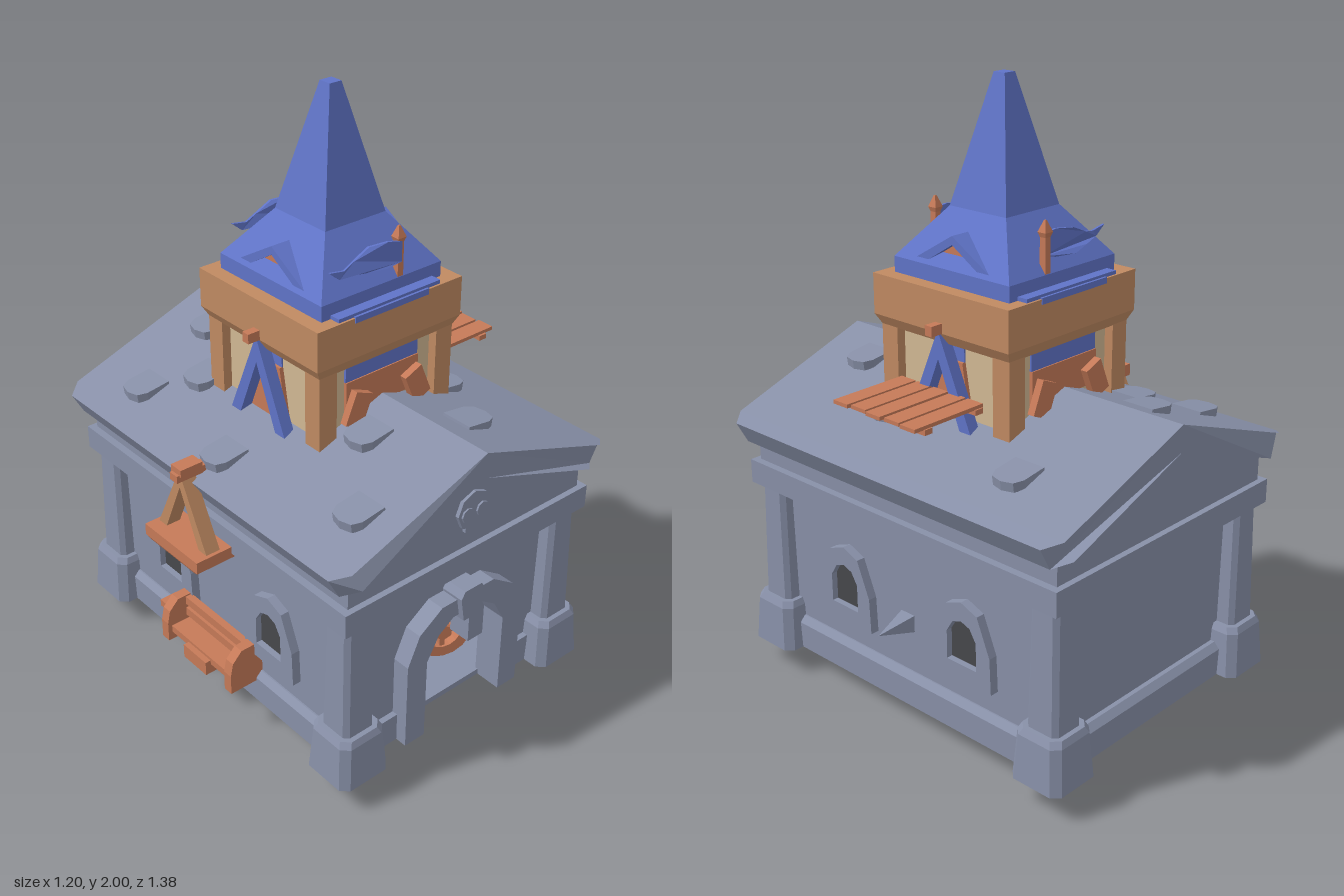
import * as THREE from 'three';

const mat = (name, color) => Object.assign(new THREE.MeshStandardMaterial({ color }), { name });

export function createModel() {
  const stone = mat('grey stone', 0x8890a8), blue = mat('blue cloth', 0x6074c8);
  const wood = mat('red wood', 0xc67a58), oak = mat('light wood', 0xc08a62);
  const plaster = mat('cream plaster', 0xd2b994), green = mat('green paint', 0x23875f);
  const dark = mat('dark opening', 0x47484c);
  const root = new THREE.Group();
  const g = new THREE.Group();
  g.name = 'chapelWagon';
  g.position.x = 0.035;
  root.add(g);

  const add = (name, geo, m, parent = g) => {
    const flat = geo.index ? geo.toNonIndexed() : geo;
    flat.computeVertexNormals();
    const mesh = new THREE.Mesh(flat, m);
    mesh.name = name;
    parent.add(mesh);
    return mesh;
  };
  // box given by its limits
  const box = (name, m, x0, x1, y0, y1, z0, z1, parent) => {
    const b = add(name, new THREE.BoxGeometry(x1 - x0, y1 - y0, z1 - z0), m, parent);
    b.position.set((x0 + x1) / 2, (y0 + y1) / 2, (z0 + z1) / 2);
    return b;
  };
  const poly = (pts) => new THREE.Shape(pts.map((p) => new THREE.Vector2(p[0], p[1])));
  // half outline mirrored across x = 0, listed from bottom right to the top centre
  const mirrored = (half) => [...half, ...half.filter((p) => p[0] !== 0).reverse().map((p) => [-p[0], p[1]])];
  const extrude = (shape, depth) => new THREE.ExtrudeGeometry(shape, { depth, bevelEnabled: false });
  // chamfered rectangles joined upwards: levels are [y, halfX, halfZ, chamfer]
  const loft = (levels) => {
    const rings = levels.map(([y, a, b, c]) => [[a, b - c], [a - c, b], [c - a, b], [-a, b - c],
      [-a, c - b], [c - a, -b], [a - c, -b], [a, c - b]].map(([x, z]) => [x, y, z]));
    const pos = [];
    const tri = (...p) => p.forEach((v) => pos.push(...v));
    for (let k = 0; k + 1 < rings.length; k++) {
      const lo = rings[k], hi = rings[k + 1];
      for (let i = 0; i < 8; i++) {
        const j = (i + 1) % 8;
        tri(lo[i], hi[j], lo[j]);
        tri(lo[i], hi[i], hi[j]);
      }
    }
    const top = rings[rings.length - 1], bot = rings[0];
    for (let i = 1; i < 7; i++) {
      tri(top[0], top[i + 1], top[i]);
      tri(bot[0], bot[i], bot[i + 1]);
    }
    return new THREE.BufferGeometry().setAttribute('position', new THREE.Float32BufferAttribute(pos, 3));
  };

  // corner columns on heavy feet
  for (const sx of [-1, 1]) for (const sz of [-1, 1]) {
    const foot = add('columnFoot', loft([[0.09, 0.095, 0.095, 0.025], [0.24, 0.085, 0.085, 0.025], [0.26, 0.075, 0.075, 0.025]]), stone);
    const col = add('column', loft([[0.25, 0.059, 0.059, 0.015], [0.67, 0.051, 0.051, 0.015]]), stone);
    for (const m of [foot, col]) m.position.set(sx * 0.43, 0, sz * 0.59);
  }

  // walls, plinths and floor
  const opening = mirrored([[0.165, 0.09], [0.165, 0.38], [0.12, 0.46], [0.06, 0.5]]);
  const front = poly([[-0.43, 0.09], [-0.165, 0.09], [-0.165, 0.38], [-0.12, 0.46], [-0.06, 0.5],
    [0.06, 0.5], [0.12, 0.46], [0.165, 0.38], [0.165, 0.09], [0.43, 0.09], [0.43, 0.625], [-0.43, 0.625]]);
  add('frontWall', extrude(front, 0.04), stone).position.z = 0.55;
  box('backWall', stone, -0.43, 0.43, 0.09, 0.625, -0.59, -0.55);
  add('backPlinth', loft([[0.09, 0.36, 0.03, 0], [0.18, 0.36, 0.03, 0], [0.2, 0.36, 0.01, 0]]), stone).position.z = -0.595;
  box('floor', stone, -0.42, 0.42, 0.09, 0.11, -0.56, 0.56);
  for (const s of [-1, 1]) {
    box('sideWall', stone, s * 0.42 - 0.02, s * 0.42 + 0.02, 0.09, 0.625, -0.57, 0.57);
    add('sidePlinth', loft([[0.09, 0.03, 0.52, 0], [0.18, 0.03, 0.52, 0], [0.2, 0.01, 0.52, 0]]), stone).position.x = s * 0.435;
    box('frontPlinth', stone, s * 0.29 - 0.05, s * 0.29 + 0.05, 0.09, 0.19, 0.57, 0.61);
    box('doorBlock', stone, s * 0.13 - 0.033, s * 0.13 + 0.033, 0.27, 0.44, 0.49, 0.57);
  }

  // entrance arch and keystone
  const arch = poly([[0.245, 0.09], [0.245, 0.4], [0.2, 0.5], [0.11, 0.56], [-0.11, 0.56], [-0.2, 0.5], [-0.245, 0.4], [-0.245, 0.09],
    ...opening.slice(4).reverse(), ...opening.slice(0, 4).reverse()]);
  add('entranceArch', extrude(arch, 0.1), stone).position.z = 0.55;
  add('keystone', extrude(poly([[-0.035, 0.485], [0.035, 0.485], [0.05, 0.57], [0.035, 0.595], [-0.035, 0.595], [-0.05, 0.57]]), 0.12), stone).position.z = 0.55;

  // side windows
  const frame = mirrored([[0.12, 0.28], [0.115, 0.4], [0.065, 0.52], [0, 0.545]]);
  const pane = mirrored([[0.06, 0.335], [0.06, 0.43], [0.035, 0.47], [0, 0.482]]);
  for (const s of [-1, 1]) for (const z of [-0.26, 0.26]) {
    const w = new THREE.Group();
    w.name = 'window';
    const ring = poly(frame);
    ring.holes.push(new THREE.Path(poly(pane).getPoints()));
    add('windowFrame', extrude(ring, 0.035), stone, w);
    add('windowPane', extrude(poly(pane), 0.008), dark, w).position.z = 0.006;
    w.rotation.y = s * Math.PI / 2;
    w.position.set(s * 0.435, 0, z);
    g.add(w);
  }
  const spike = add('wallSpike', new THREE.ConeGeometry(0.045, 0.14, 4, 1).rotateY(Math.PI / 4).rotateZ(-Math.PI / 2), stone);
  spike.position.set(0.495, 0.37, 0);

  // lintel, gable and pitched roof
  box('lintel', stone, -0.505, 0.505, 0.66, 0.74, -0.66, 0.66);
  add('gable', extrude(poly([[-0.48, 0.73], [0.48, 0.73], [0.48, 0.84], [0, 1.02], [-0.48, 0.84]]), 1.28), stone).position.z = -0.64;
  const roofGeo = extrude(poly([[0, 1.085], [-0.51, 0.903], [-0.56, 0.885], [-0.52, 0.812], [-0.47, 0.83],
    [0, 1.0], [0.47, 0.83], [0.52, 0.812], [0.56, 0.885], [0.51, 0.903]]), 1.38).translate(0, 0, -0.69);
  const rp = roofGeo.attributes.position;
  for (let i = 0; i < rp.count; i++) if (Math.abs(rp.getX(i)) > 0.515) rp.setZ(i, rp.getZ(i) * 0.94);
  add('stoneRoof', roofGeo, stone);

  // loose roof tiles, rounded on the downhill end
  const tile = poly([[-0.07, -0.055], [0.015, -0.055], [0.045, -0.04], [0.055, 0], [0.045, 0.04], [0.015, 0.055], [-0.07, 0.055]]);
  for (const [x, z] of [[-0.41, -0.45], [-0.11, -0.49], [-0.27, -0.31], [0.38, -0.39], [-0.155, 0.34], [-0.45, 0.02], [-0.37, 0.54], [0.15, 0.48], [0.31, 0.2]]) {
    const s = Math.sign(x);
    const t = add('roofTile', extrude(tile, 0.03).rotateX(-Math.PI / 2).rotateZ(-0.14).rotateY(s < 0 ? Math.PI : 0), stone);
    t.position.set(x, 1.078 - Math.abs(x) * 0.357, z);
  }

  // round carving on the front gable
  const disc = (name, r, n, x, y, z, d) => {
    const m = add(name, new THREE.CylinderGeometry(r, r, d, n).rotateX(Math.PI / 2), stone);
    m.position.set(x, y, z);
  };
  disc('carvedFace', 0.066, 8, 0, 0.87, 0.643, 0.02);
  disc('carvedChin', 0.038, 6, 0, 0.82, 0.643, 0.02);
  for (const s of [-1, 1]) disc('carvedEye', 0.024, 8, s * 0.03, 0.865, 0.655, 0.008);

  // wagon inside the chapel
  box('wagonBody', wood, -0.22, 0.22, 0.1, 0.27, -0.26, 0.26);
  box('wagonTower', oak, -0.225, 0.225, 0.26, 1.0, -0.22, 0.22);
  box('counterTop', oak, -0.16, 0.16, 0.385, 0.42, 0.2, 0.34);
  add('greenChest', loft([[0.27, 0.09, 0.1, 0.05], [0.34, 0.12, 0.12, 0.05], [0.385, 0.12, 0.12, 0.05]]), green).position.z = 0.3;
  const awning = add('innerAwning', new THREE.CylinderGeometry(0.14, 0.14, 0.12, 10, 1, false, 0, Math.PI).rotateX(Math.PI / 2).rotateZ(Math.PI / 2), blue);
  awning.position.set(0, 0.42, 0.27);
  add('undersideHub', new THREE.CylinderGeometry(0.135, 0.09, 0.06, 6), wood).position.y = 0.065;
  const wheel = (name, r, d, x, y, z, turn) => {
    const w = new THREE.Group();
    w.name = name;
    const shape = new THREE.Shape().absarc(0, 0, r, 0, Math.PI * 2);
    shape.holes.push(new THREE.Path().absarc(0, 0, r * 0.62, 0, Math.PI * 2, true));
    add('rim', new THREE.ExtrudeGeometry(shape, { depth: d, bevelEnabled: false, curveSegments: 8 }), wood, w).position.z = -d / 2;
    add('wheelHub', new THREE.CylinderGeometry(r * 0.3, r * 0.3, d * 1.2, 6).rotateX(Math.PI / 2), wood, w);
    for (let i = 0; i < 2; i++) box('spoke', wood, -r * 0.8, r * 0.8, -r * 0.09, r * 0.09, -d * 0.3, d * 0.3, w).rotation.z = i * Math.PI / 2;
    w.position.set(x, y, z);
    w.rotation.y = turn;
    g.add(w);
  };
  for (const s of [-1, 1]) for (const z of [-0.31, 0.31]) wheel('wagonWheel', 0.105, 0.07, s * 0.235, 0.105, z, 0);
  wheel('spareWheel', 0.1, 0.04, 0.13, 0.21, 0.42, -0.4);

  // timber tower: walls, posts and top beam
  box('towerWalls', plaster, -0.235, 0.235, 0.9, 1.25, -0.235, 0.235);
  for (const sx of [-1, 1]) for (const sz of [-1, 1])
    box('towerPost', oak, sx * 0.233 - 0.033, sx * 0.233 + 0.033, 0.93, 1.25, sz * 0.233 - 0.033, sz * 0.233 + 0.033);
  add('towerBeam', loft([[1.235, 0.265, 0.265, 0], [1.27, 0.285, 0.28, 0], [1.4, 0.285, 0.28, 0]]), oak);
  add('spire', loft([[1.4, 0.235, 0.237, 0], [1.45, 0.235, 0.237, 0], [1.605, 0.117, 0.115, 0], [2.0, 0.022, 0.022, 0]]), blue);

  // front and back of the tower: window, boards, eave cloth and flag
  const flag = poly([[0.07, 1.5], [0.07, 1.565], [0.02, 1.575], [-0.04, 1.57], [-0.1, 1.545], [-0.15, 1.535], [-0.205, 1.545],
    [-0.17, 1.515], [-0.11, 1.505], [-0.05, 1.49], [0.02, 1.49]]);
  for (const s of [-1, 1]) {
    const slab = (name, m, x0, x1, y0, y1, z, d) => box(name, m, x0, x1, y0, y1, s * z - d / 2, s * z + d / 2);
    slab('towerWindow', blue, -0.145, 0.145, 1.17, 1.228, 0.238, 0.008);
    slab('windowSill', wood, -0.145, 0.145, 1.06, 1.17, 0.24, 0.012);
    for (const k of [-1, 1]) slab('looseBoard', wood, k * 0.12 - 0.035, k * 0.12 + 0.035, 1.03, 1.14, 0.265, 0.025).rotation.z = k * 0.4;
    slab('eaveCloth', blue, -0.2, 0.2, 1.395, 1.412, 0.25, 0.045);
    slab('eaveTrim', blue, -0.145, 0.145, 1.385, 1.405, 0.279, 0.008);
    const pole = add('flagPole', loft([[1.4, 0.011, 0.011, 0], [1.56, 0.011, 0.011, 0], [1.575, 0.016, 0.016, 0], [1.61, 0.003, 0.003, 0]]), wood);
    pole.position.set(0.07, 0, s * 0.225);
    const cloth = extrude(flag, 0.008);
    const p = cloth.attributes.position;
    for (let i = 0; i < p.count; i++) p.setZ(i, p.getZ(i) + 0.012 * Math.sin(p.getX(i) * 26));
    add('flag', cloth, blue).position.z = s * 0.225 - 0.004;
  }

  // left and right of the tower: door, drapes, ridge beam and dormer
  for (const s of [-1, 1]) {
    const side = new THREE.Group();
    side.name = 'towerSide';
    side.rotation.y = s * Math.PI / 2;
    g.add(side);
    add('sideDoor', extrude(poly([[-0.1, 0.95], [0.1, 0.95], [0.06, 1.18], [-0.06, 1.18]]), 0.015), wood, side).position.z = 0.234;
    box('sideWindow', blue, -0.06, 0.06, 1.17, 1.23, 0.232, 0.24, side);
    for (const k of [-1, 1])
      add('drape', extrude(poly([[0, 1.28], [0, 1.19], [k * 0.09, 0.97], [k * 0.135, 0.97]].slice()), 0.04), blue, side).position.z = 0.25;
    box('hoistBeam', wood, -0.014, 0.014, 1.27, 1.302, 0.24, 0.328, side);
    add('dormerRoof', extrude(poly([[-0.17, 1.45], [-0.12, 1.45], [0, 1.525], [0.12, 1.45], [0.17, 1.45], [0, 1.552]]), 0.165), blue, side).position.z = 0.06;
    add('dormerPanel', extrude(poly([[-0.12, 1.45], [0.12, 1.45], [0, 1.525]]), 0.135), wood, side).position.z = 0.07;
  }

  // plank platform
  [[-0.143, 0.555], [-0.073, 0.55], [0, 0.556], [0.07, 0.548], [0.14, 0.555]].forEach(([z, x]) =>
    box('platformPlank', wood, 0.28, x, 1.08, 1.092, z - 0.03, z + 0.03));
  for (const x of [0.3, 0.505]) box('platformBar', wood, x - 0.015, x + 0.015, 1.064, 1.081, -0.178, 0.178);

  // hanging trough on the left wall
  add('trough', loft([[0.635, 0.065, 0.115, 0], [0.645, 0.07, 0.135, 0], [0.685, 0.07, 0.135, 0]]), wood).position.x = -0.565;
  for (const k of [-1, 1]) {
    const sling = poly([[k * 0.125, 0.68], [k * 0.085, 0.68], [0, 0.87], [0, 0.93]]);
    add('troughSling', extrude(sling, 0.05).rotateY(-Math.PI / 2), oak).position.x = -0.54;
  }
  box('troughBeam', wood, -0.61, -0.43, 0.9, 0.925, -0.018, 0.018);
  box('troughBeamCap', wood, -0.6, -0.52, 0.92, 0.945, -0.025, 0.025);

  // bench on the left wall
  const end = poly([[-0.44, 0.17], [-0.44, 0.32], [-0.52, 0.32], [-0.555, 0.285], [-0.565, 0.24], [-0.565, 0.17]]);
  for (const z of [-0.17, 0.17]) add('benchEnd', extrude(end, 0.035), wood).position.z = z - 0.017;
  box('benchSeat', wood, -0.55, -0.44, 0.2, 0.225, -0.17, 0.17);
  for (const y of [0.24, 0.285]) box('benchBack', wood, -0.49, -0.465, y, y + 0.03, -0.17, 0.17);
  box('benchStep', wood, -0.57, -0.525, 0.165, 0.215, -0.06, 0.06);
  box('benchPeg', wood, -0.5, -0.44, 0.2, 0.225, -0.29, -0.26);
  return root;
}
